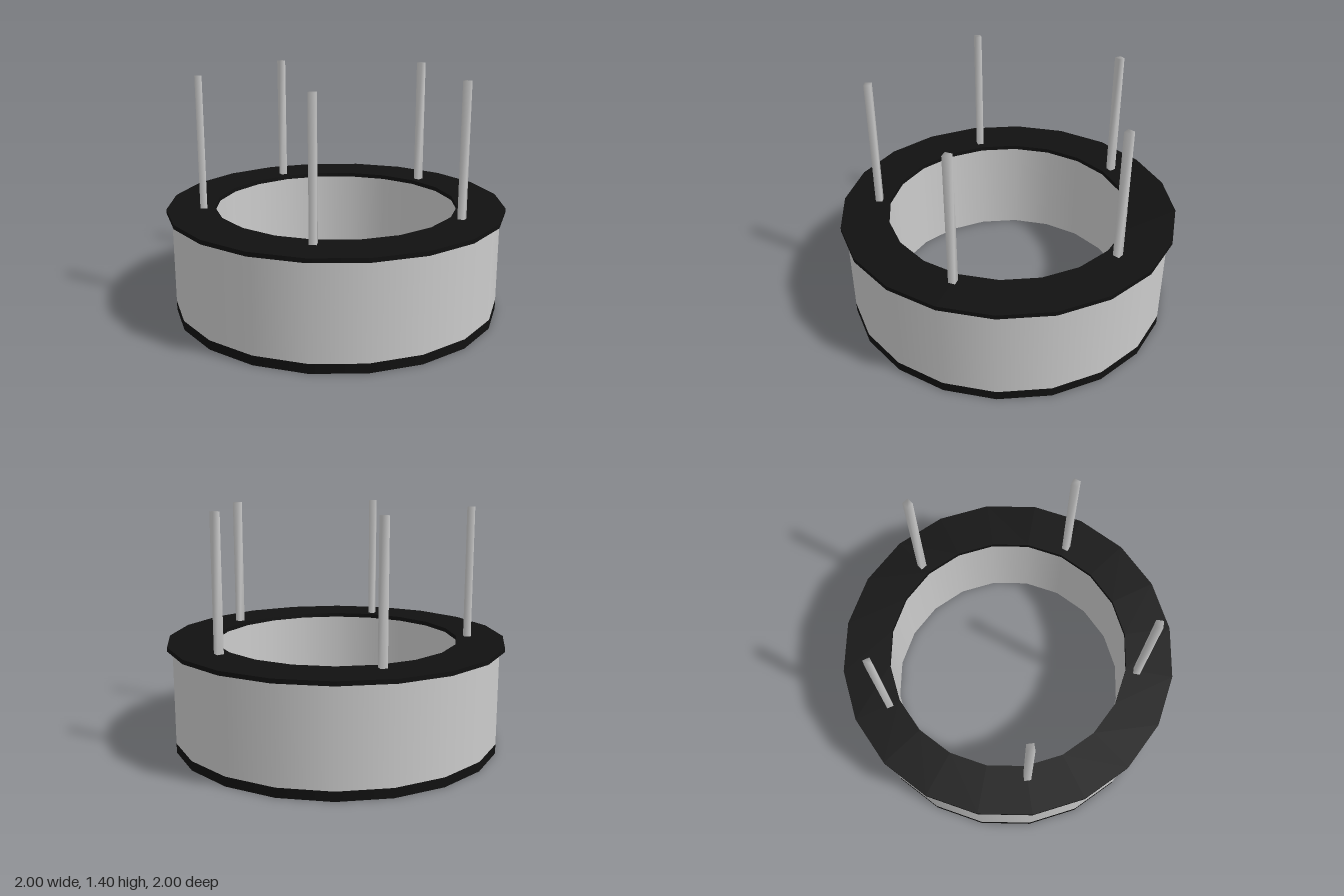
import * as THREE from 'three';
import { mergeGeometries, mergeVertices } from 'three/addons/utils/BufferGeometryUtils.js';

const SIDES = 20;
const ROD_COUNT = 5;

// Revolves each profile segment on its own, so corners of the profile stay sharp
function ring(name, material, segments) {
  const parts = segments.map(([r0, y0, r1, y1]) =>
    new THREE.LatheGeometry([new THREE.Vector2(r0, y0), new THREE.Vector2(r1, y1)], SIDES));
  const mesh = new THREE.Mesh(mergeGeometries(parts), material);
  mesh.name = name;
  return mesh;
}

// Square rod with shared corner normals for soft shading
function rodGeometry(width, height) {
  const box = new THREE.BoxGeometry(width, height, width);
  box.deleteAttribute('normal');
  box.deleteAttribute('uv');
  const rod = mergeVertices(box);
  rod.computeVertexNormals();
  return rod;
}

export function createModel() {
  const model = new THREE.Group();
  model.name = 'ringWithRods';
  const grey = new THREE.MeshStandardMaterial({ color: 0xcccccc });
  const black = new THREE.MeshStandardMaterial({ color: 0x111111 });

  const outer = 0.97, inner = 0.74, bandTop = 0.055, plateY = 0.605, plateTop = 0.63;

  // Hollow body: outer wall, inner wall and underside
  model.add(ring('body', grey, [
    [outer, bandTop, outer, plateY],
    [inner, plateY, inner, 0],
    [inner, 0, outer, 0],
  ]));

  // Dark band around the foot of the outer wall
  model.add(ring('baseBand', black, [[outer, 0, outer, bandTop]]));

  // Dark top plate, overhanging both walls
  model.add(ring('topPlate', black, [
    [1, plateY, 1, plateTop],
    [1, plateTop, 0.72, plateTop],
    [0.72, plateTop, 0.72, plateY],
    [0.72, plateY, 1, plateY],
  ]));

  // Upright rods, turned to face outwards
  const rodTop = 1.4, rodBottom = plateTop - 0.01;
  const geometry = rodGeometry(0.04, rodTop - rodBottom);
  for (let i = 0; i < ROD_COUNT; i++) {
    const angle = (i / ROD_COUNT) * Math.PI * 2;
    const rod = new THREE.Mesh(geometry, grey);
    rod.name = 'rod' + (i + 1);
    rod.position.set(0.785 * Math.sin(angle), (rodTop + rodBottom) / 2, 0.785 * Math.cos(angle));
    rod.rotation.y = angle;
    model.add(rod);
  }
  return model;
}
